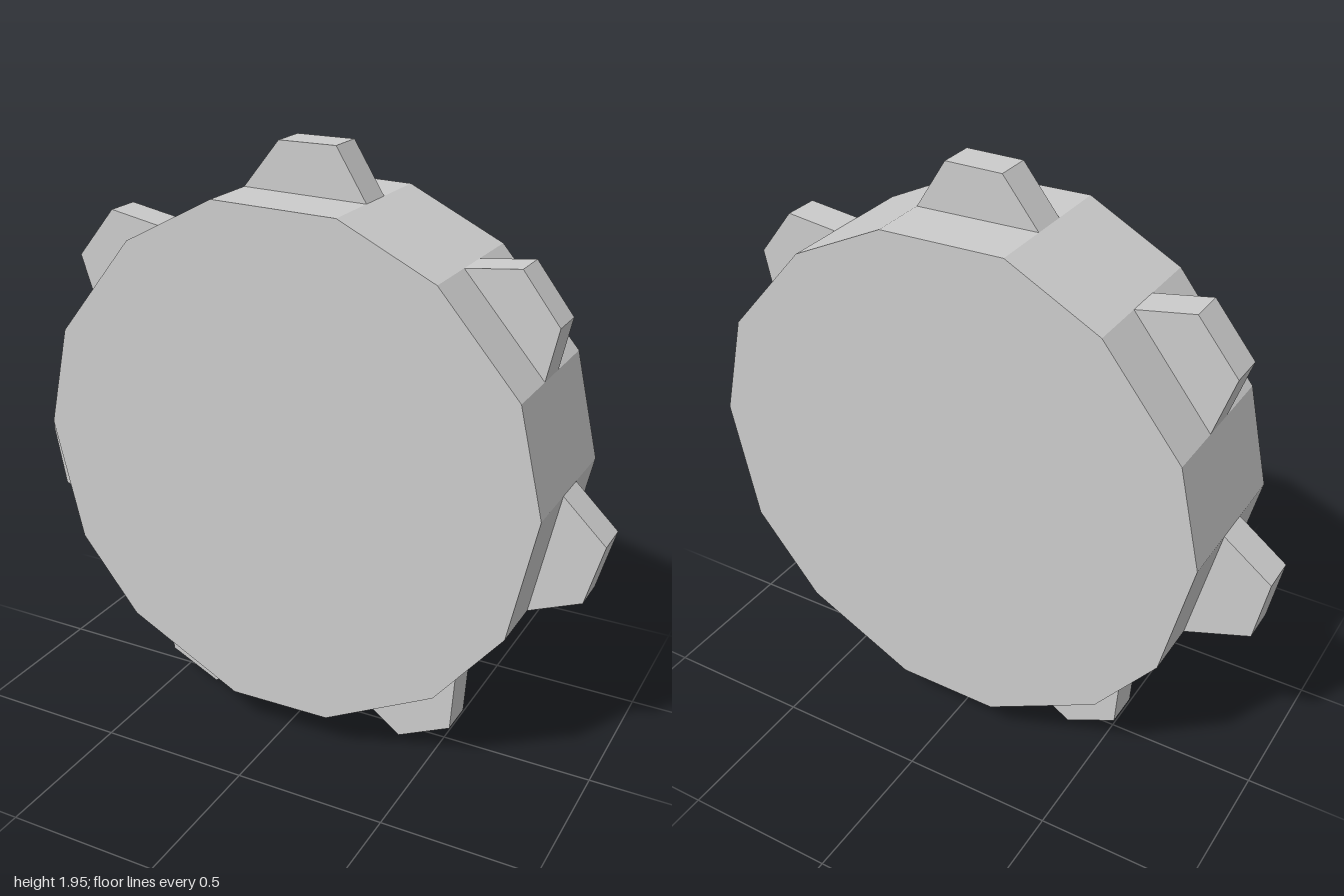
import * as THREE from 'three';

// Rim corners, clockwise from the top; every second edge carries a tooth
const RIM = [
  [-0.2, 1.8], [0.21, 1.79], [0.52, 1.64], [0.78, 1.34], [0.86, 1.0], [0.775, 0.595], [0.555, 0.325],
  [0.185, 0.135], [-0.16, 0.13], [-0.545, 0.33], [-0.745, 0.58], [-0.84, 0.985], [-0.765, 1.315], [-0.505, 1.64],
];

// Outer corner pair of each tooth, in the same order
const TIPS = [
  [[-0.08, 1.95], [0.11, 1.95]],
  [[0.695, 1.66], [0.815, 1.505]],
  [[1.0, 0.865], [0.945, 0.665]],
  [[0.54, 0.09], [0.36, 0.005]],
  [[-0.355, 0.005], [-0.53, 0.09]],
  [[-0.96, 0.655], [-1.0, 0.865]],
  [[-0.83, 1.51], [-0.695, 1.675]],
];

const BODY_DEPTH = 0.51;
const TOOTH_DEPTH = 0.12;

// Flat-sided slab from an outline, centred on z = 0
function slab(name, outline, depth, material) {
  const shape = new THREE.Shape(outline.map(([x, y]) => new THREE.Vector2(x, y)));
  const geometry = new THREE.ExtrudeGeometry(shape, { depth, bevelEnabled: false });
  geometry.translate(0, 0, -depth / 2);
  const mesh = new THREE.Mesh(geometry, material);
  mesh.name = name;
  return mesh;
}

export function createModel() {
  const group = new THREE.Group();
  group.name = 'cogWheel';
  const material = new THREE.MeshStandardMaterial({ color: 0xcccccc, flatShading: true });

  // Fourteen-sided wheel
  group.add(slab('wheelBody', RIM, BODY_DEPTH, material));

  // Seven narrow tapered teeth standing on the rim
  TIPS.forEach(([tipA, tipB], i) => {
    const outline = [RIM[2 * i], tipA, tipB, RIM[2 * i + 1]];
    group.add(slab(`tooth${i + 1}`, outline, TOOTH_DEPTH, material));
  });

  return group;
}
